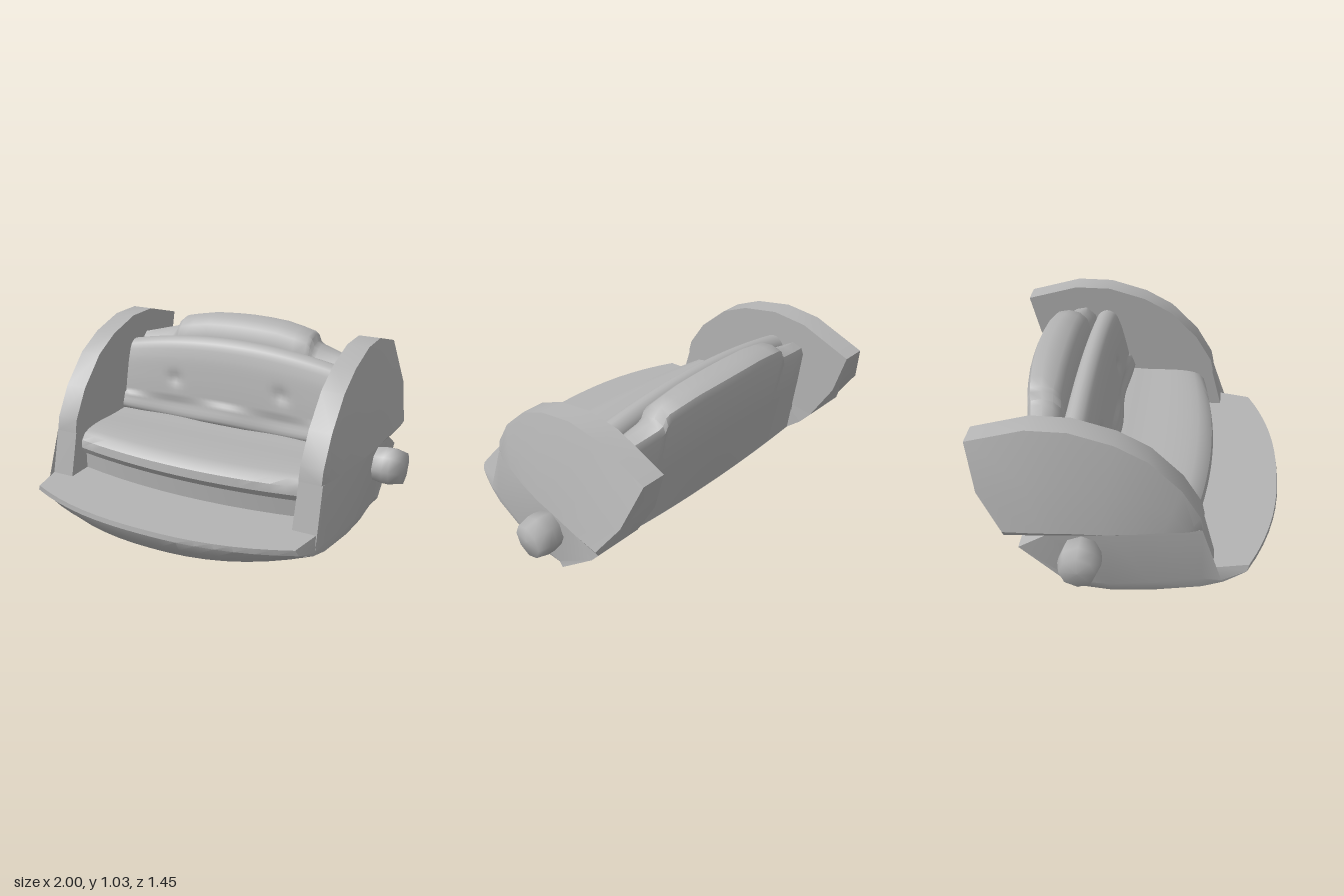
import * as THREE from 'three';
import { toCreasedNormals } from 'three/addons/utils/BufferGeometryUtils.js';

const grey = new THREE.MeshStandardMaterial({ color: 0xb4b4b4, side: THREE.DoubleSide });
grey.name = 'plain grey';

const lerp = THREE.MathUtils.lerp;
const INNER = 0.635; // inner face of the side wings

// Skin rows of [x, y, z] points; closed loops get end caps.
function skin(name, rows, closed = false, crease = 0.6) {
  const n = rows[0].length, pos = rows.flat(2), idx = [];
  for (let r = 0; r < rows.length - 1; r++) {
    for (let i = 0; i < (closed ? n : n - 1); i++) {
      const a = r * n + i, b = r * n + (i + 1) % n;
      idx.push(a, b, a + n, b, b + n, a + n);
    }
  }
  if (closed) {
    for (const r of [0, rows.length - 1]) {
      const c = pos.length / 3;
      for (let k = 0; k < 3; k++) pos.push(rows[r].reduce((s, p) => s + p[k], 0) / n);
      for (let i = 0; i < n; i++) {
        const a = r * n + i, b = r * n + (i + 1) % n;
        if (r) idx.push(a, b, c); else idx.push(b, a, c);
      }
    }
  }
  const g = new THREE.BufferGeometry();
  g.setAttribute('position', new THREE.Float32BufferAttribute(pos, 3));
  g.setIndex(idx);
  const mesh = new THREE.Mesh(toCreasedNormals(g, crease), grey);
  mesh.name = name;
  return mesh;
}

// Evenly spaced values from -w to w
const span = (w, n) => Array.from({ length: n + 1 }, (_, i) => -w + 2 * w * i / n);

// Smooth closed [z, y] outline
function outline(points, n) {
  const c = new THREE.CatmullRomCurve3(points.map(([z, y]) => new THREE.Vector3(0, y, z)), true, 'centripetal');
  return c.getSpacedPoints(n).slice(0, n).map(p => [p.z, p.y]);
}

// Hull rows, lip to stern: centre [y, z], then edge [x, y, z]
const hullRows = [
  [0.27, 0.72, 0.72, 0.27, 0.57], [0.245, 0.725, 0.735, 0.24, 0.56],
  [0.19, 0.70, 0.75, 0.215, 0.51], [0.125, 0.64, 0.765, 0.19, 0.45],
  [0.075, 0.54, 0.785, 0.17, 0.35], [0.025, 0.28, 0.815, 0.155, 0.12],
  [0.005, 0.0, 0.82, 0.14, -0.08], [0.012, -0.15, 0.81, 0.14, -0.21],
  [0.28, -0.40, 0.64, 0.343, -0.42],
];

function hull() {
  const group = new THREE.Group();
  group.name = 'hull';
  const rows = hullRows.map(([yc, zc, xe, ye, ze]) => span(1, 16).map(u => {
    const t = Math.abs(u) ** 2.3;
    return [u * xe, lerp(yc, ye, t), lerp(zc, ze, t)];
  }));
  group.add(skin('hullShell', rows));
  group.add(skin('floorDeck', [rows[0], rows[0].map(([x, y]) => [x, y, -0.2])]));
  return group;
}

// Left side: lower wall, upper wing and round hub
function side() {
  const group = new THREE.Group();

  // Wall top [x, y, z], paired with hull edge rows
  const wallTop = [
    [0.72, 0.27, 0.57], [0.755, 0.27, 0.40], [0.755, 0.50, 0.34], [0.81, 0.525, 0.10],
    [0.845, 0.525, -0.10], [0.86, 0.51, -0.36], [0.86, 0.42, -0.50],
  ];
  const edgeRow = [1, 3, 4, 5, 6, 7, 7];
  const wall = wallTop.map((t, i) => {
    const e = hullRows[edgeRow[i]].slice(2);
    const mid = t.map((v, k) => lerp(v, e[k], 0.82));
    mid[0] += 0.035 * i / 6;
    return [[INNER, t[1], t[2]], t, mid, e, [INNER, e[1], e[2]]];
  });
  group.add(skin('sideWall', wall, true, 0.5));

  // Wing: rim arc [z, y] and lower edge [z, y, x]
  const rim = [[0.345, 0.5], [0.33, 0.57], [0.24, 0.72], [0.09, 0.87],
    [-0.06, 0.95], [-0.26, 1.005], [-0.45, 1.005], [-0.725, 0.925]];
  const low = [[0.33, 0.5, 0.755], [0.27, 0.505, 0.785], [0.16, 0.51, 0.81], [0.02, 0.51, 0.84],
    [-0.12, 0.51, 0.86], [-0.26, 0.51, 0.87], [-0.4, 0.505, 0.88], [-0.56, 0.50, 0.885]];
  const wing = rim.map(([z, y], i) => {
    const [lz, ly, lx] = low[i];
    const mz = lerp(z, lz, 0.5) - 0.03 * (i / 7) ** 4, my = lerp(y, ly, 0.5);
    return [[INNER, ly, lz], [INNER, my, mz], [INNER, y, z], [0.75, y, z],
      [lerp(0.75, lx, 0.64), my, mz], [lx, ly + 0.03 * i / 7, lz], [lx - 0.015, ly, lz]];
  });
  group.add(skin('sideWing', wing, true, 0.5));

  // Faceted round hub
  const knob = new THREE.LatheGeometry([[0, -0.12], [0.06, -0.10], [0.09, -0.05], [0.1, 0],
    [0.1, 0.035], [0.085, 0.095], [0, 0.1]].map(p => new THREE.Vector2(...p)), 8);
  const hub = new THREE.Mesh(knob, grey);
  hub.name = 'hub';
  hub.rotation.z = -Math.PI / 2;
  hub.position.set(0.9, 0.415, -0.205);
  group.add(hub);
  return group;
}

function seat() {
  const group = new THREE.Group();
  group.name = 'seat';

  // Seat base and cushion bow forward in the middle
  group.add(skin('seatBase', span(0.64, 10).map(x => {
    const f = 0.33 - 0.07 * (x / 0.64) ** 2;
    return [[x, 0.26, f], [x, 0.38, f], [x, 0.38, -0.35], [x, 0.26, -0.35]];
  }), true));
  const cushion = outline([[-0.25, 0.47], [0, 0.49], [0.24, 0.49], [0.33, 0.47], [0.37, 0.42],
    [0.35, 0.37], [0.3, 0.355], [-0.25, 0.36]], 32);
  group.add(skin('seatCushion', span(0.64, 16).map(x =>
    cushion.map(([z, y]) => [x, y, z - 0.07 * (x / 0.64) ** 2 * Math.max(0, z) / 0.37])), true));

  // Padded backrest with two button dimples
  const pad = outline([[-0.135, 0.49], [-0.15, 0.58], [-0.175, 0.72], [-0.205, 0.85], [-0.235, 0.92],
    [-0.28, 0.94], [-0.32, 0.915], [-0.34, 0.86], [-0.34, 0.49]], 60);
  group.add(skin('backCushion', span(0.635, 40).map(x => pad.map(([z, y]) => {
    const d2 = (Math.abs(x) - 0.32) ** 2 + (y - 0.71) ** 2;
    const dent = z > -0.25 ? 0.018 * Math.exp(-d2 / 0.0012) : 0;
    const wave = y < 0.6 ? 0.012 * Math.cos(x * Math.PI / 0.32) : 0;
    const drop = 0.07 * (x / 0.635) ** 2 * Math.max(0, (y - 0.5) / 0.44);
    return [x, y - drop + wave * 0.6, z - dent + wave];
  })), true, 0.8));
  return group;
}

// Back shell with raised headrest: station x and top height
function backShell() {
  const half = [[0, 1.035], [0.1, 1.033], [0.21, 1.027], [0.31, 1.01], [0.38, 0.995],
    [0.4, 0.98], [0.415, 0.945], [0.44, 0.93], [0.54, 0.905], [0.64, 0.88]];
  const stations = [...half.slice(1).reverse().map(([x, h]) => [-x, h]), ...half];
  return skin('backShell', stations.map(([x, h]) => {
    const t = (x / 0.64) ** 2;
    const back = -0.545 + 0.08 * t, front = -0.36 + 0.015 * t;
    return [
      [x, lerp(0.28, 0.343, t), lerp(-0.40, -0.42, t)],
      [x, 0.65, lerp(-0.49, -0.45, t)],
      [x, h - 0.045, back], [x, h - 0.012, back + 0.015], [x, h, back + 0.07],
      [x, h - 0.012, front - 0.035], [x, h - 0.045, front], [x, h - 0.12, front + 0.02],
      [x, 0.40, -0.25],
    ];
  }), true, 0.7);
}

export function createModel() {
  const model = new THREE.Group();
  model.name = 'rideSeat';
  const left = side();
  left.name = 'leftSide';
  const right = side();
  right.name = 'rightSide';
  right.scale.x = -1;
  model.add(hull(), left, right, seat(), backShell());
  return model;
}
